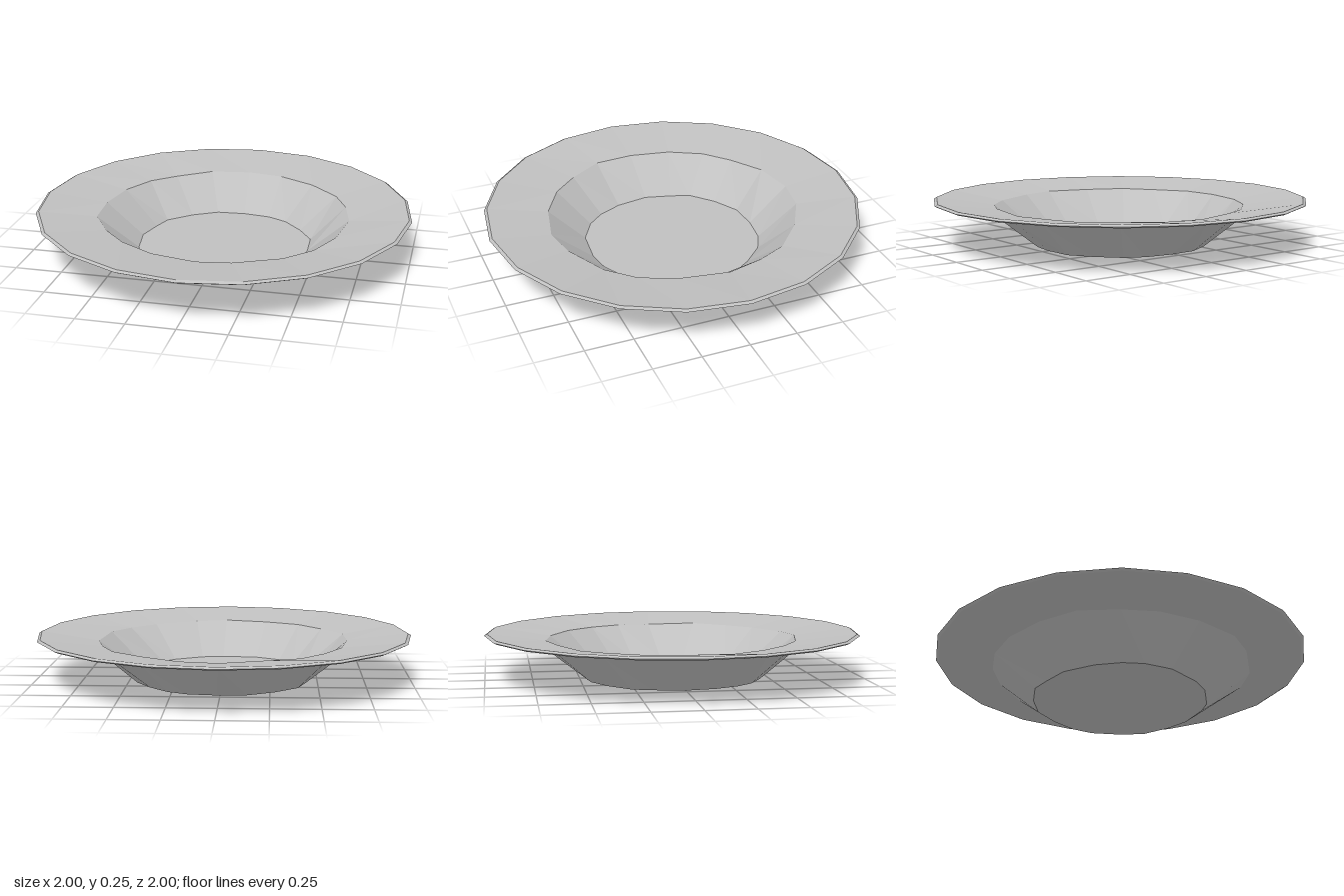
import * as THREE from 'three';

const SEGMENTS = 20;

// Small repeatable variation in [-1, 1] for the hand-cut facets
function wobble(ring, step) {
  const s = Math.sin(ring * 12.99 + step * 78.23) * 43758.55;
  return (s - Math.floor(s)) * 2 - 1;
}

export function createModel() {
  const group = new THREE.Group();
  group.name = 'plate';
  const ceramic = new THREE.MeshStandardMaterial({ color: 0xc0c0c0, flatShading: true });
  ceramic.name = 'grey ceramic';

  // Closed profile: underside from the centre outward, over the rim, back across the top
  const profile = [
    [0, 0], [0.47, 0], [0.7, 0.185], [0.985, 0.23], [1, 0.238],
    [0.985, 0.247], [0.67, 0.207], [0.465, 0.03], [0, 0.03],
  ].map(([r, y]) => new THREE.Vector2(r, y));
  const body = new THREE.LatheGeometry(profile, SEGMENTS);

  // Shift the foot and well corners slightly around the axis for uneven facets
  const pos = body.attributes.position;
  const rings = profile.length;
  for (let i = 0; i < pos.count; i++) {
    const ring = i % rings;
    const step = Math.floor(i / rings) % SEGMENTS;
    const { x: r, y } = profile[ring];
    const wall = [1, 2, 6, 7].includes(ring);
    const layer = ring > 4 ? 8 - ring : ring; // inner and outer walls shift together
    const angle = (step / SEGMENTS) * Math.PI * 2 + (wall ? 0.06 * wobble(layer, step) : 0);
    const radius = r + (wall ? 0.012 * wobble(layer + 5, step) : 0);
    const lift = ring === 2 || ring === 6 ? 0.004 * wobble(9, step) : 0;
    pos.setXYZ(i, radius * Math.sin(angle), y + lift, radius * Math.cos(angle));
  }
  body.computeVertexNormals();

  const dish = new THREE.Mesh(body, ceramic);
  dish.name = 'dish';
  group.add(dish);
  return group;
}
